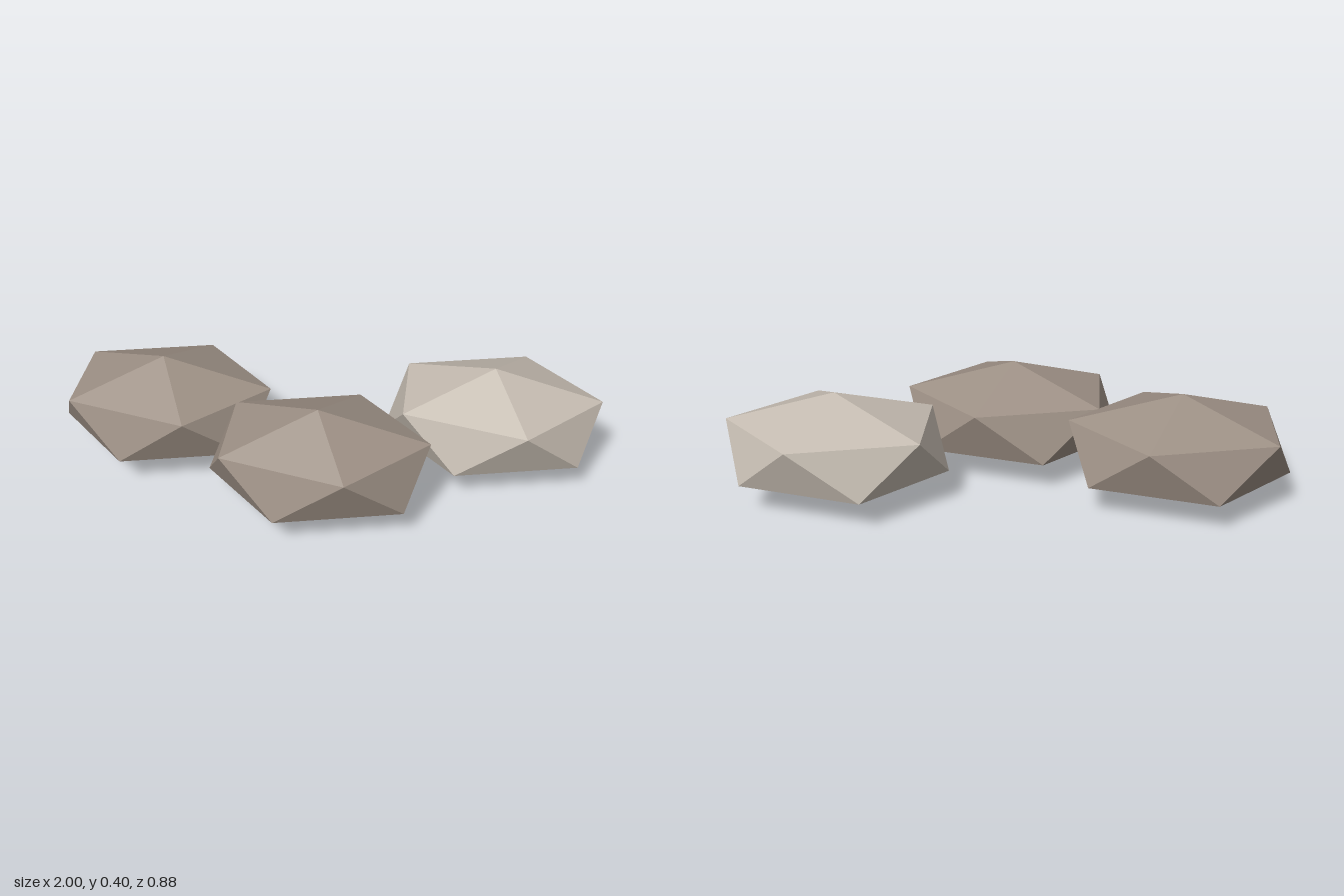
import * as THREE from 'three';

// Faceted boulder: an ellipsoidal 20-sided solid with a vertex at top and bottom
function boulderGeometry(rx, ry, rz) {
  const ringR = 2 / Math.sqrt(5), ringY = 1 / Math.sqrt(5);
  const ring = (offset, y) => Array.from({ length: 5 }, (_, k) => {
    const a = offset + k * Math.PI * 2 / 5;
    return new THREE.Vector3(ringR * Math.cos(a), y, ringR * Math.sin(a));
  });
  const upper = ring(0, ringY), lower = ring(Math.PI / 5, -ringY);
  const top = new THREE.Vector3(0, 1, 0), bottom = new THREE.Vector3(0, -1, 0);
  const points = [];
  for (let k = 0; k < 5; k++) {
    const n = (k + 1) % 5;
    points.push(top, upper[n], upper[k]);
    points.push(upper[k], upper[n], lower[k]);
    points.push(lower[k], upper[n], lower[n]);
    points.push(lower[k], lower[n], bottom);
  }
  const geometry = new THREE.BufferGeometry().setFromPoints(points);
  geometry.scale(rx, ry, rz);
  geometry.computeVertexNormals();
  return geometry;
}

export function createModel() {
  const group = new THREE.Group();
  group.name = 'boulders';

  const darkStone = new THREE.MeshStandardMaterial({ name: 'dark stone', color: 0x9c8f84, flatShading: true });
  const lightStone = new THREE.MeshStandardMaterial({ name: 'light stone', color: 0xc4bbb0, flatShading: true });

  const height = 0.403;
  const geometry = boulderGeometry(0.4417, height / 2, 0.32);

  // Three equal stones in a staggered row
  const stones = [
    ['rightBoulder', -0.605, -0.1, darkStone],
    ['middleBoulder', 0, 0.168, darkStone],
    ['leftBoulder', 0.605, -0.168, lightStone],
  ];
  for (const [name, x, z, material] of stones) {
    const stone = new THREE.Mesh(geometry, material);
    stone.name = name;
    stone.position.set(x, height / 2, z);
    group.add(stone);
  }
  return group;
}
